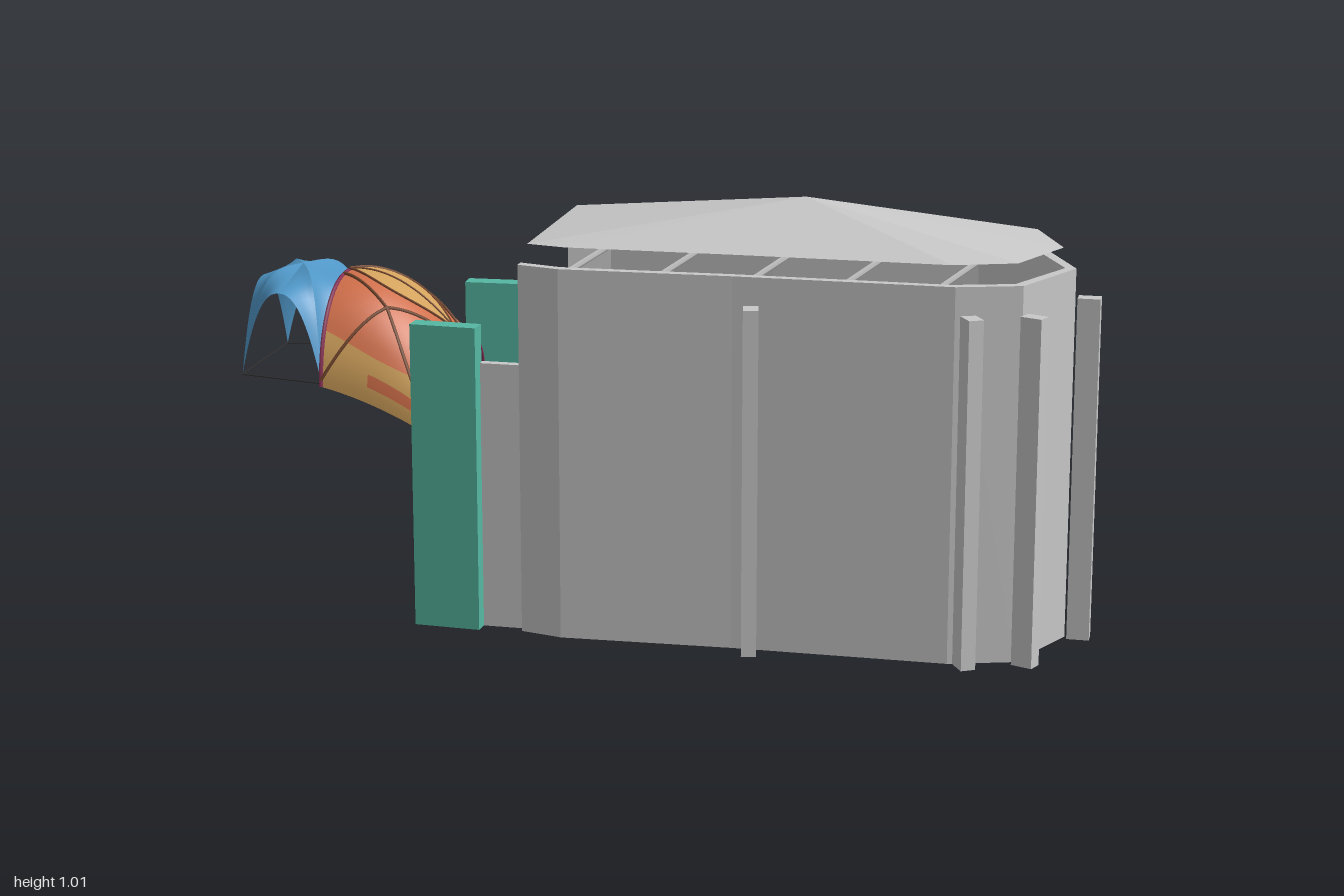
import * as THREE from 'three';

export function createModel() {
  const model = new THREE.Group();
  const mat = (name, color, open) => {
    const m = new THREE.MeshStandardMaterial({ color });
    m.name = name;
    if (open) m.side = THREE.DoubleSide;
    return m;
  };
  const stone = mat('stone grey', 0xc8c8c8, true);
  const green = mat('panel green', 0x55b8a2);
  const blue = mat('canopy blue', 0x4f96c6, true);
  const tan = mat('tent tan', 0xd2a25c, true);
  const red = mat('tent red', 0xd06f4a, true);
  const plum = mat('trim plum', 0x8c3458);
  const brown = mat('pole brown', 0x7a4a30);
  const dark = mat('cord dark', 0x333333);

  const add = (name, geo, material, parent = model) => {
    const mesh = new THREE.Mesh(geo, material);
    mesh.name = name;
    parent.add(mesh);
    return mesh;
  };
  const box = (name, material, w, h, d, x, z, turn = 0, y = h / 2) => {
    const b = add(name, new THREE.BoxGeometry(w, h, d), material);
    b.position.set(x, y, z);
    b.rotation.y = turn;
    return b;
  };
  const tube = (name, points, r, material) => add(name, new THREE.TubeGeometry(
    new THREE.CatmullRomCurve3(points), points.length * 3, r, 5), material);
  const bar = (name, a, b, r, material) => {
    const p = new THREE.Vector3(...a), q = new THREE.Vector3(...b);
    return add(name, new THREE.TubeGeometry(new THREE.LineCurve3(p, q), 1, r, 4), material);
  };
  // Surface over the unit square from a point function
  const sheet = (name, f, nu, nv, material) => {
    const pos = [], idx = [];
    for (let i = 0; i <= nu; i++)
      for (let j = 0; j <= nv; j++) pos.push(...f(i / nu, j / nv).toArray());
    for (let i = 0; i < nu; i++)
      for (let j = 0; j < nv; j++) {
        const a = i * (nv + 1) + j, b = a + nv + 1;
        idx.push(a, a + 1, b, b, a + 1, b + 1);
      }
    const g = new THREE.BufferGeometry();
    g.setAttribute('position', new THREE.Float32BufferAttribute(pos, 3));
    g.setIndex(idx);
    g.computeVertexNormals();
    return add(name, g, material);
  };

  // Hall walls: thin open shell, faceted apse at +x
  const mirror = (half) => [...half, ...half.filter(p => p[1] > 0).reverse().map(([x, z]) => [x, -z])];
  const outer = mirror([[-0.3, 0.24], [-0.2, 0.265], [0.2, 0.25], [0.7, 0.25], [0.845, 0.205], [0.94, 0]]);
  const inner = mirror([[-0.3, 0.215], [-0.2, 0.242], [0.2, 0.228], [0.69, 0.228], [0.825, 0.188], [0.915, 0]]);
  const wallShape = new THREE.Shape([...outer, ...inner.reverse()].map(([x, z]) => new THREE.Vector2(x, z)));
  const wallGeo = new THREE.ExtrudeGeometry(wallShape, { depth: 0.875, bevelEnabled: false });
  wallGeo.rotateX(-Math.PI / 2);
  add('hallWalls', wallGeo, stone);

  // Floating shallow roof: facets from an off-centre peak
  const rim = mirror([[-0.28, 0.228], [-0.19, 0.247], [0.2, 0.24], [0.69, 0.24], [0.83, 0.19], [0.91, 0]]);
  const roofPos = [];
  rim.forEach(([x, z], i) => {
    const [x2, z2] = rim[(i + 1) % rim.length];
    roofPos.push(0.32, 1.013, 0, x, 0.922, z, x2, 0.922, z2);
  });
  const roofGeo = new THREE.BufferGeometry();
  roofGeo.setAttribute('position', new THREE.Float32BufferAttribute(roofPos, 3));
  roofGeo.computeVertexNormals();
  add('roof', roofGeo, stone);

  // Thin zigzag tie beams under the eaves
  for (let i = 0; i < 5; i++) {
    const x = -0.32 + i * 0.22;
    for (const s of [-1, 1])
      bar('tieBeam', [x, 0.76, 0], [x + 0.14, 0.84, s * 0.22], 0.008, stone);
  }

  // Buttresses: x, z, outward direction
  const buttress = (x, z, nx, nz) =>
    box('buttress', stone, 0.052, 0.81, 0.035, x, z, Math.atan2(-nz, nx));
  buttress(0.972, 0, 1, 0);
  buttress(-0.235, -0.275, -0.4, -0.9);
  for (const s of [-1, 1]) {
    buttress(0.247, s * 0.277, 0.2, s);
    buttress(0.74, s * 0.262, 0.5, s * 0.87);
    buttress(0.873, s * 0.218, 0.93, s * 0.38);

    // Passage walls, door posts and green panels
    box('passageWall', stone, 0.12, 0.635, 0.022, -0.35, s * 0.21);
    box('doorPost', stone, 0.06, 0.5, 0.025, -0.536, s * 0.2);
    box('greenPanel', green, 0.158, 0.725, 0.045, -0.477, s * 0.229, s * -0.05);
  }

  // Drooping tent: arches swept from x = -0.785 down to x = -0.5
  const half = new THREE.Vector3();
  const tent = (u, a, lift = 0) => {
    const baseX = -0.785 + 0.265 * u, baseY = 0.555 - 0.06 * u - 0.045 * u * u;
    const topX = -0.785 + 0.285 * u, topY = 0.785 + 0.04 * u - 0.2 * u * u;
    const k = Math.sin(a), w = 0.215 + lift;
    return half.set(baseX + (topX - baseX) * k, baseY + (topY - baseY) * k + lift * k,
      w * Math.sign(Math.cos(a)) * Math.pow(Math.abs(Math.cos(a)), 0.9)).clone();
  };
  const rad = Math.PI / 180;
  for (const s of [-1, 1]) {
    const side = (deg) => s > 0 ? deg * rad : Math.PI - deg * rad;
    const split = (u) => 34 - 8 * Math.sin(u * Math.PI);
    sheet('tentLower', (u, v) => tent(u, side(split(u) * v)), 14, 6, tan);
    sheet('tentUpper', (u, v) => tent(u, side(split(u) + (90 - split(u)) * v)), 14, 10, red);
    sheet('tentPatch', (u, v) => tent(0.42 + 0.45 * u, side(9 + 7 * v), 0.004), 6, 2, red);
    // Poles from the side hub to the corners
    for (const [u, d] of [[0, 4], [1, 4], [0, 84], [1, 84]]) {
      const pts = [];
      for (let i = 0; i <= 6; i++)
        pts.push(tent(0.47 + (u - 0.47) * i / 6, side(60 + (d - 60) * i / 6), 0.003));
      tube('tentPole', pts, 0.004, brown);
    }
  }
  // Lens-shaped crown strip with seams
  const lens = (u) => 15 * Math.sin(Math.PI * u) * rad;
  sheet('crownStrip', (u, v) => tent(0.02 + 0.9 * u, Math.PI / 2 + lens(u) * (2 * v - 1), 0.006), 14, 4, tan);
  for (const s of [-1, 0, 1]) {
    const pts = [];
    for (let i = 0; i <= 10; i++)
      pts.push(tent(0.02 + 0.09 * i, Math.PI / 2 + s * lens(i / 10), 0.007));
    tube('crownSeam', pts, 0.003, brown);
  }
  for (const u of [0, 1]) {
    const pts = [];
    for (let i = 0; i <= 20; i++) pts.push(tent(u, Math.PI * i / 20));
    tube('archTrim', pts, 0.005, plum);
  }

  // Four-legged canopy with an arch on every side
  const corners = [[-0.998, 0.16], [-0.788, 0.203], [-0.788, -0.203], [-0.998, -0.16]];
  const [cx, cz] = [-0.895, 0];
  corners.forEach(([x1, z1], i) => {
    const [x2, z2] = corners[(i + 1) % 4];
    const mx = (x1 + x2) / 2, mz = (z1 + z2) / 2;
    for (const [x, z] of [[x1, z1], [x2, z2]]) {
      sheet('canopyPanel', (s, t) => {
        const ridge = new THREE.Vector3(cx + (x - cx) * s, 0.8 - 0.24 * Math.pow(s, 4), cz + (z - cz) * s);
        const arch = new THREE.Vector3(mx + (x - mx) * s, 0.765 - 0.205 * Math.pow(s, 2.3), mz + (z - mz) * s);
        return ridge.lerp(arch, t);
      }, 14, 5, blue);
    }
    bar('groundCord', [x1, 0.56, z1], [x2, 0.56, z2], 0.002, dark);
  });
  return model;
}
